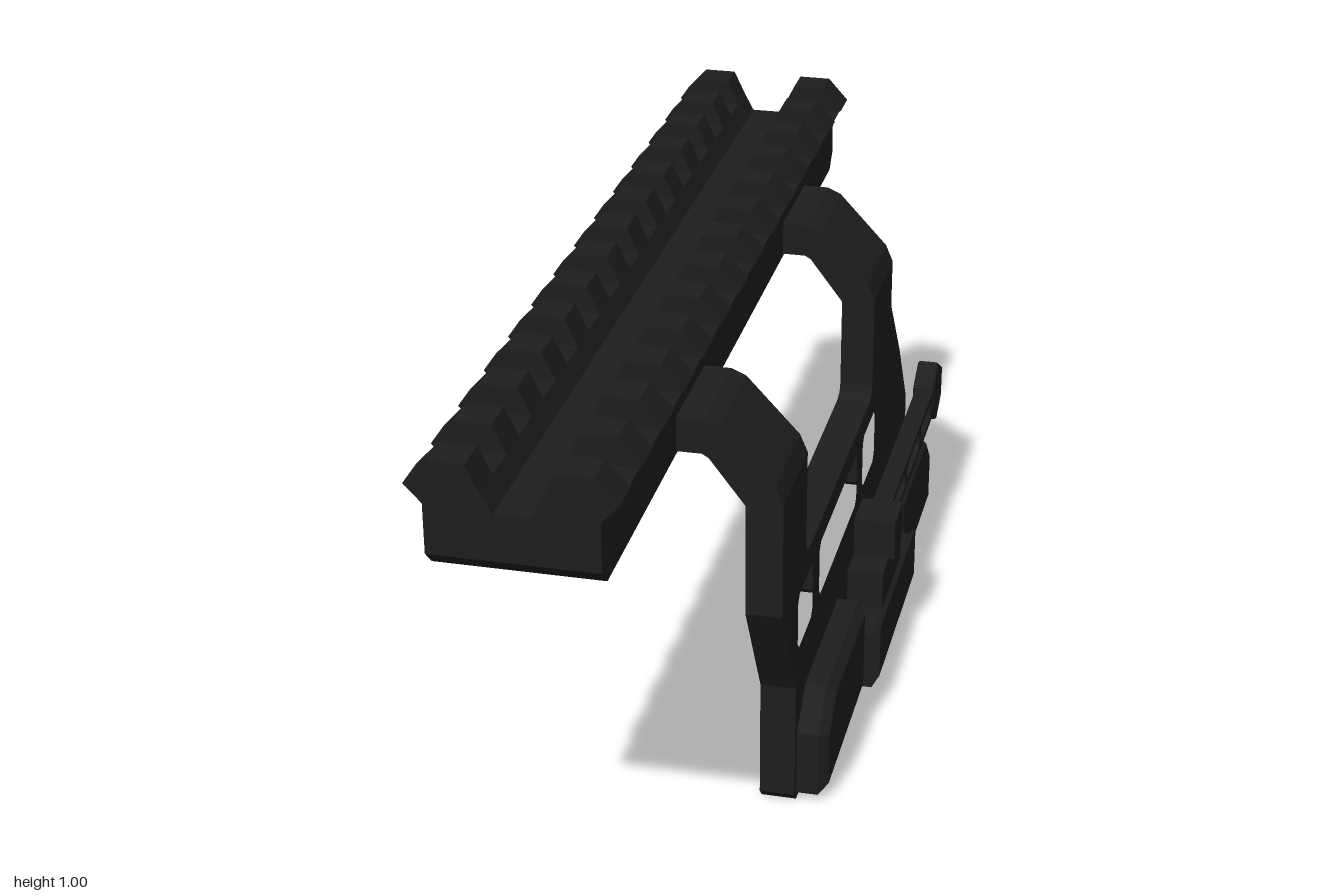
import * as THREE from 'three';

const material = new THREE.MeshStandardMaterial({ color: 0x1e1e1e, flatShading: true });

function add(group, name, geometry) {
  const mesh = new THREE.Mesh(geometry, material);
  mesh.name = name;
  group.add(mesh);
  return mesh;
}

const toShape = (pts) => new THREE.Shape(pts.map(([x, y]) => new THREE.Vector2(x, y)));

// Profile in x, y swept along z
function sweepZ(pts, z0, z1) {
  return new THREE.ExtrudeGeometry(toShape(pts), { depth: z1 - z0, bevelEnabled: false }).translate(0, 0, z0);
}

// Outline in z, y swept along x, with optional bevel and holes
function sweepX(pts, x0, x1, bevel = 0, holes = []) {
  const flip = (list) => list.map(([z, y]) => [-z, y]);
  const shape = toShape(flip(pts));
  shape.holes = holes.map((h) => toShape(flip(h)));
  const geometry = new THREE.ExtrudeGeometry(shape, {
    depth: x1 - x0 - 2 * bevel,
    bevelEnabled: bevel > 0, bevelThickness: bevel, bevelSize: bevel, bevelOffset: -bevel, bevelSegments: 1,
  });
  return geometry.rotateY(Math.PI / 2).translate(x0 + bevel, 0, 0);
}

function box(x0, x1, y0, y1, z0, z1) {
  return new THREE.BoxGeometry(x1 - x0, y1 - y0, z1 - z0)
    .translate((x0 + x1) / 2, (y0 + y1) / 2, (z0 + z1) / 2);
}

// Rectangle in z, y with clipped corners
function clippedRect(z0, z1, y0, y1, c) {
  return [[z0 + c, y0], [z1 - c, y0], [z1, y0 + c], [z1, y1 - c],
    [z1 - c, y1], [z0 + c, y1], [z0, y1 - c], [z0, y0 + c]];
}

function buildRail() {
  const rail = new THREE.Group();
  rail.name = 'rail';
  const cx = -0.126;
  // Base with chamfered lower ends
  add(rail, 'railBase', sweepX([[0.97, 0.8], [1, 0.83], [1, 0.915], [-0.93, 0.915], [-0.93, 0.83], [-0.9, 0.8]], -0.274, 0.022));
  for (const side of [-1, 1]) {
    const mirror = (pts) => pts.map(([x, y]) => [cx + side * x, y]);
    // Continuous ledge below the slots
    add(rail, 'railLedge', sweepZ(mirror([[0.031, 0.915], [0.148, 0.915], [0.148, 0.922], [0.174, 0.95], [0.05, 0.95]]), -0.93, 1));
    // Cross teeth
    for (let i = 0; i < 14; i++) {
      const z = -0.93 + i * 0.1431;
      add(rail, 'railTooth', sweepZ(mirror([[0.05, 0.95], [0.174, 0.95], [0.179, 0.955], [0.138, 1], [0.074, 1]]), z, z + 0.07));
    }
  }
  return rail;
}

function buildBracket() {
  const bracket = new THREE.Group();
  bracket.name = 'bracket';
  // Bent arms reaching the rail
  const arm = [[0, 0.805], [0.068, 0.805], [0.08, 0.798], [0.147, 0.71], [0.147, 0.7], [0.215, 0.7],
    [0.215, 0.718], [0.2, 0.753], [0.1, 0.86], [0.072, 0.872], [0, 0.872]];
  add(bracket, 'frontArm', sweepZ(arm, 0.295, 0.51));
  add(bracket, 'rearArm', sweepZ(arm, -0.615, -0.4));
  // Side plate with three windows
  const outline = [[0.51, 0.7], [0.295, 0.7], [0.295, 0.525], [0.288, 0.508], [0.265, 0.5],
    [-0.37, 0.5], [-0.393, 0.508], [-0.4, 0.525], [-0.4, 0.7], [-0.615, 0.7], [-0.615, 0.615],
    [-0.75, 0.45], [-0.862, 0.285], [-0.865, 0.23], [-0.895, 0.205], [-0.895, 0.02], [-0.88, 0],
    [0.36, 0], [0.377, 0.02], [0.377, 0.26], [0.51, 0.49]];
  const windows = [[0.225, 0.365], [-0.235, 0.16], [-0.44, -0.3]]
    .map(([z0, z1]) => clippedRect(z0, z1, 0.335, 0.452, 0.014));
  add(bracket, 'sidePlate', sweepX(outline, 0.147, 0.215, 0, windows));
  return bracket;
}

function buildClamp() {
  const clamp = new THREE.Group();
  clamp.name = 'clamp';
  // Raised blocks at each end
  add(clamp, 'frontBlock', sweepX([[0.36, 0.015], [0.36, 0.15], [0.285, 0.215], [-0.045, 0.215], [-0.045, 0.015]], 0.195, 0.275, 0.018));
  add(clamp, 'rearBlock', sweepX([[-0.885, 0.015], [-0.885, 0.14], [-0.81, 0.215], [-0.485, 0.215], [-0.485, 0.015]], 0.195, 0.275, 0.018));
  // Central jaw and its step
  add(clamp, 'jaw', sweepZ([[0.21, 0.01], [0.288, 0.01], [0.304, 0.04], [0.304, 0.155], [0.289, 0.138], [0.21, 0.138]], -0.485, -0.052));
  add(clamp, 'jawStep', box(0.21, 0.289, 0.13, 0.222, -0.375, -0.155));
  // Lever pivot
  add(clamp, 'leverPivot', box(0.21, 0.3, 0.222, 0.305, -0.315, -0.22));
  // Lever bar with recessed panels
  const panels = [[-0.5, -0.345], [-0.69, -0.53], [-0.85, -0.72]]
    .map(([z0, z1]) => clippedRect(z0, z1, 0.242, 0.28, 0.006));
  add(clamp, 'leverBar', sweepX([[-0.3, 0.228], [-0.88, 0.228], [-0.9, 0.295], [-0.3, 0.295]], 0.235, 0.275, 0, panels));
  add(clamp, 'leverWeb', box(0.235, 0.258, 0.235, 0.288, -0.88, -0.31));
  // Faceted finger knob
  add(clamp, 'leverKnob', sweepX([[-0.865, 0.25], [-0.885, 0.22], [-0.935, 0.195], [-1, 0.23], [-1, 0.302],
    [-0.935, 0.34], [-0.87, 0.302]], 0.23, 0.277, 0.004));
  return clamp;
}

export function createModel() {
  const model = new THREE.Group();
  model.name = 'sideRailMount';
  model.add(buildRail(), buildBracket(), buildClamp());
  return model;
}
